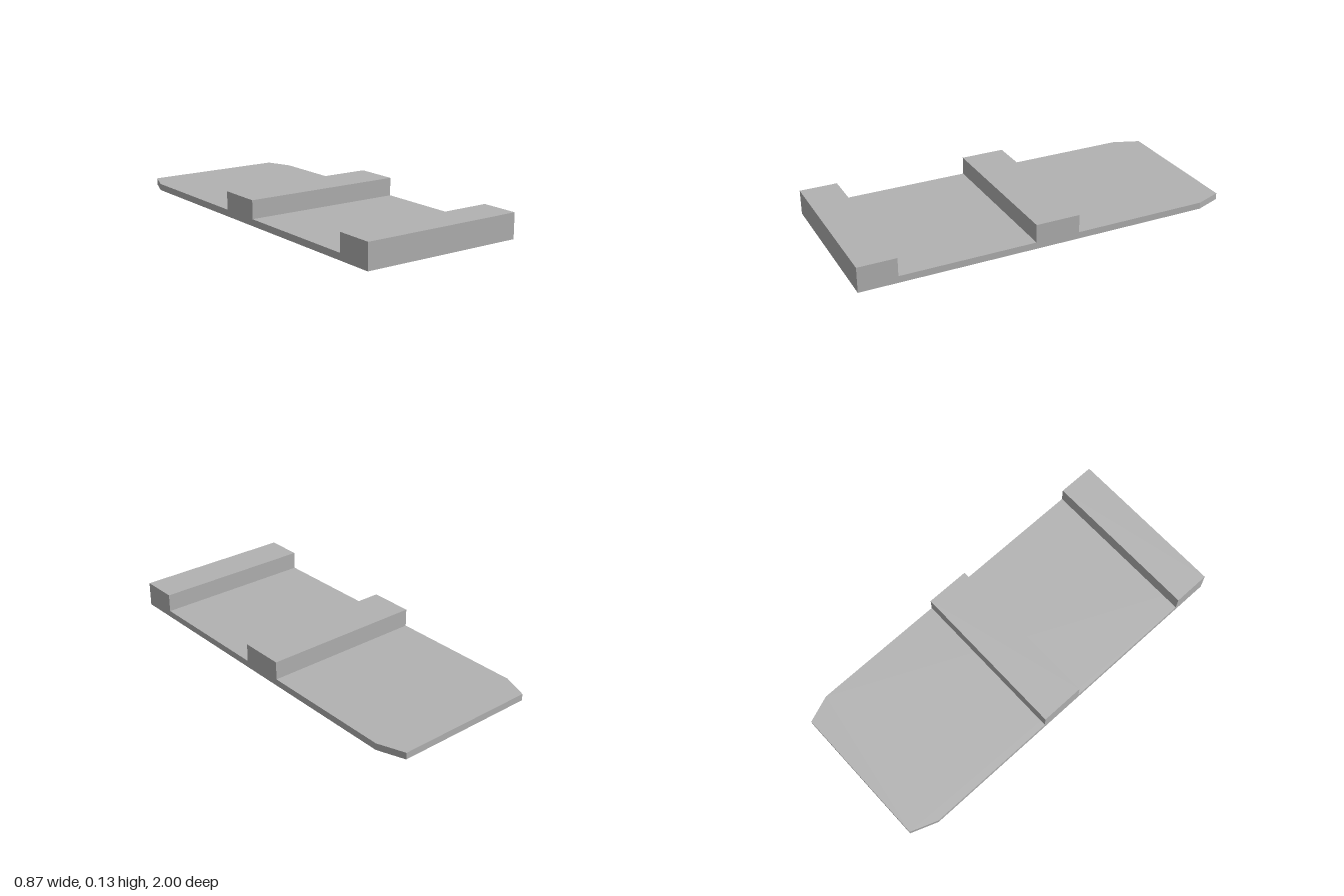
import * as THREE from 'three';

const HALF_WIDTH = 0.433;
const PLATE_TOP = 0.035;
const BAR_TOP = 0.13;

export function createModel() {
  const model = new THREE.Group();
  model.name = 'steppedPlate';
  const grey = new THREE.MeshStandardMaterial({ color: 0xb2b2b2 });
  grey.name = 'grey';

  function add(name, geometry) {
    const mesh = new THREE.Mesh(geometry, grey);
    mesh.name = name;
    model.add(mesh);
    return mesh;
  }

  // Base plate: outline with both back corners cut, extruded upward
  const outline = new THREE.Shape([
    [-HALF_WIDTH, -1], [HALF_WIDTH, -1], [HALF_WIDTH, 0.86],
    [0.38, 1], [-0.38, 1], [-HALF_WIDTH, 0.86],
  ].map(([x, y]) => new THREE.Vector2(x, y)));
  const plate = new THREE.ExtrudeGeometry(outline, { depth: PLATE_TOP, bevelEnabled: false });
  plate.rotateX(-Math.PI / 2);
  add('basePlate', plate);

  // Full-width raised bars resting on the plate
  function addBar(name, zBack, zFront) {
    const height = BAR_TOP - PLATE_TOP;
    const bar = add(name, new THREE.BoxGeometry(HALF_WIDTH * 2, height, zFront - zBack));
    bar.position.set(0, PLATE_TOP + height / 2, (zBack + zFront) / 2);
  }
  addBar('frontBar', 0.803, 1);
  addBar('middleBar', -0.142, 0.093);

  return model;
}
